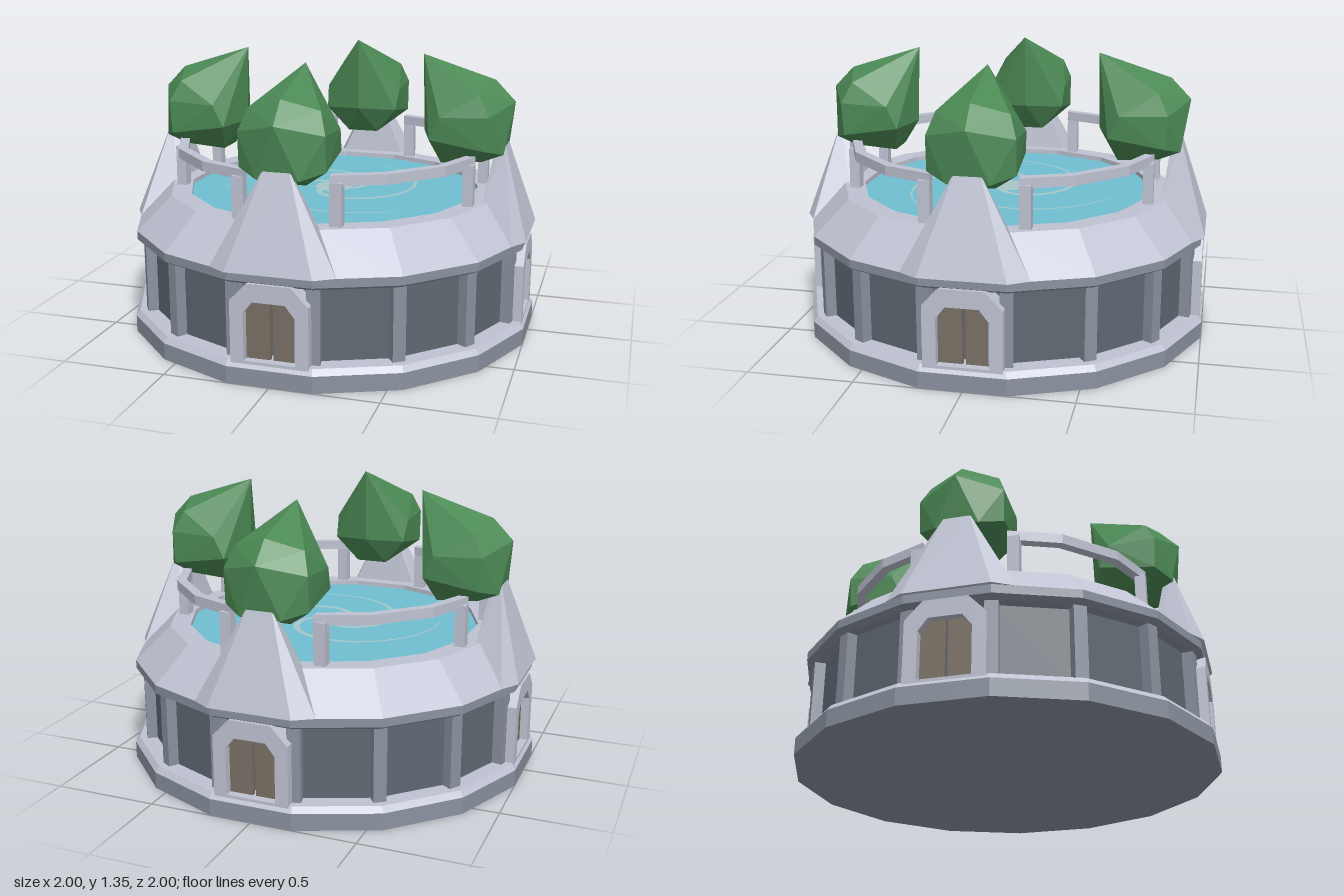
import * as THREE from 'three';
import { ConvexGeometry } from 'three/addons/geometries/ConvexGeometry.js';

const SIDES = 16;
const STEP = (Math.PI * 2) / SIDES;
const CORNER = 1 / Math.cos(STEP / 2); // apothem to corner radius

function material(name, color, side = THREE.FrontSide) {
  const m = new THREE.MeshStandardMaterial({ color, flatShading: true, side });
  m.name = name;
  return m;
}

const paleStone = material('pale stone', 0xbfc3d2);
const greyStone = material('grey stone', 0x8b93a0);
const darkWall = material('dark wall', 0x5f6872);
const wood = material('door wood', 0x7a7064);
const waterBlue = material('water', 0x6fbfd2);
const foam = material('swirl', 0xa8c6c9, THREE.DoubleSide);
const leaf = material('foliage', 0x4c8a55);

function add(parent, name, geometry, mat, x = 0, y = 0, z = 0) {
  const mesh = new THREE.Mesh(geometry, mat);
  mesh.name = name;
  mesh.position.set(x, y, z);
  parent.add(mesh);
  return mesh;
}

// Sixteen-sided ring from a profile of [apothem, height]
function ring(points) {
  const profile = points.map(([a, y]) => new THREE.Vector2(a * CORNER, y));
  return new THREE.LatheGeometry(profile, SIDES, STEP / 2);
}

// Convex solid from points given for the +x half, mirrored where x > 0
function mirroredHull(half) {
  const pts = [];
  for (const [x, y, z] of half) {
    pts.push(new THREE.Vector3(x, y, z));
    if (x > 0) pts.push(new THREE.Vector3(-x, y, z));
  }
  return new ConvexGeometry(pts);
}

const polygon = (points) => points.map(([x, y]) => new THREE.Vector2(x, y));

function doorFrameGeometry() {
  const outline = new THREE.Shape(polygon([
    [-0.18, 0.09], [0.18, 0.09], [0.18, 0.385], [0.1, 0.468], [-0.1, 0.468], [-0.18, 0.385]]));
  outline.holes.push(new THREE.Path(polygon([
    [-0.118, 0.11], [-0.118, 0.33], [-0.075, 0.385], [0.075, 0.385], [0.118, 0.33], [0.118, 0.11]])));
  return new THREE.ExtrudeGeometry(outline, { depth: 0.115, bevelEnabled: false });
}

function doorLeafGeometry() {
  const leafShape = new THREE.Shape(polygon([
    [0.007, 0.1], [0.125, 0.1], [0.125, 0.325], [0.075, 0.39], [0.007, 0.39]]));
  return new THREE.ExtrudeGeometry(leafShape, { depth: 0.02, bevelEnabled: false });
}

// Flat rail following the pool edge across one quarter
function railGeometry() {
  const path = (a) => {
    const r = a * CORNER;
    const k = Math.tan(STEP);
    const endZ = a - (0.2 - r * Math.sin(STEP / 2)) * k;
    const c = r * Math.cos(STEP * 1.5), s = r * Math.sin(STEP * 1.5);
    return [[0.2, endZ], [s, c], [c, s], [endZ, 0.2]];
  };
  const shape = new THREE.Shape(polygon([...path(0.765), ...path(0.72).reverse()]));
  const g = new THREE.ExtrudeGeometry(shape, { depth: 0.047, bevelEnabled: false });
  return g.rotateX(Math.PI / 2); // shape y becomes z
}

// Tapering spiral ribbon
function swirlArmGeometry() {
  const outer = [], inner = [];
  const n = 20;
  for (let i = 0; i <= n; i++) {
    const t = i / n;
    const angle = THREE.MathUtils.degToRad(130 - 209 * t);
    const r = 0.08 + 0.465 * t;
    const w = 0.02 * (1 - t) + 0.003;
    outer.push([(r + w) * Math.cos(angle), -(r + w) * Math.sin(angle)]);
    inner.push([(r - w) * Math.cos(angle), -(r - w) * Math.sin(angle)]);
  }
  const shape = new THREE.Shape(polygon([...outer, ...inner.reverse()]));
  return new THREE.ShapeGeometry(shape).rotateX(-Math.PI / 2);
}

export function createModel() {
  const model = new THREE.Group();
  model.name = 'roundPavilion';

  // Body, from the ground up
  add(model, 'foundation', ring([[0, 0], [1, 0], [1, 0.08]]), greyStone);
  add(model, 'foundationLedge', ring([[1, 0.08], [0.98, 0.107], [0.88, 0.107]]), paleStone);
  add(model, 'wall', ring([[0.9, 0.1], [0.9, 0.46]]), darkWall);
  add(model, 'cornice', ring([[0.89, 0.455], [0.95, 0.455], [0.978, 0.472], [0.978, 0.512]]), greyStone);
  add(model, 'roof', ring([[0.978, 0.512], [0.807, 0.678]]), paleStone);
  add(model, 'poolRim', ring([[0.807, 0.678], [0.71, 0.678], [0.71, 0.645]]), paleStone);

  // Columns at the wall corners
  const columnGeometry = new THREE.BoxGeometry(0.06, 0.36, 0.055);
  for (let i = 0; i < SIDES; i++) {
    const a = (i + 0.5) * STEP;
    const column = add(model, 'column', columnGeometry, greyStone,
      0.935 * Math.sin(a), 0.28, 0.935 * Math.cos(a));
    column.rotation.y = a;
  }

  // Pool and its swirl
  const water = new THREE.CircleGeometry(0.715 * CORNER, SIDES, STEP / 2).rotateX(-Math.PI / 2);
  add(model, 'water', water, waterBlue, 0, 0.655, 0);
  const swirl = new THREE.Group();
  swirl.name = 'swirl';
  swirl.position.y = 0.66;
  model.add(swirl);
  add(swirl, 'swirlCentre', new THREE.CircleGeometry(0.1, 9).rotateX(-Math.PI / 2), foam, 0, 0.001, 0);
  const armGeometry = swirlArmGeometry();
  for (let i = 0; i < 3; i++) {
    add(swirl, 'swirlArm', armGeometry, foam).rotation.y = (i * Math.PI * 2) / 3;
  }

  // Shared geometry for the four sides
  const frame = doorFrameGeometry();
  const doorLeaf = doorLeafGeometry();
  const rail = railGeometry();
  const post = new THREE.BoxGeometry(0.055, 0.22, 0.05);
  const gable = mirroredHull([
    [0.29, 0.512, 0.938], [0.2, 0.512, 0.995], [0.17, 0.67, 0.78],
    [0.055, 0.955, 0.86], [0, 0.967, 0.855], [0.05, 0.93, 0.815]]);
  const crown = mirroredHull([
    [0, 1.35, 0.45], [0, 1.24, 0.8], [0.165, 1.19, 0.75], [0, 1.14, 0.897],
    [0.2, 1.09, 0.8], [0.2, 0.93, 0.79], [0.2, 1.08, 0.57], [0.19, 0.97, 0.52],
    [0.1, 0.9, 0.86], [0, 0.98, 0.46], [0.1, 0.86, 0.76], [0.08, 0.84, 0.56]]);

  for (let i = 0; i < 4; i++) {
    const side = new THREE.Group();
    side.name = 'side';
    side.rotation.y = (i * Math.PI) / 2;
    model.add(side);

    add(side, 'doorFrame', frame, paleStone, 0, 0, 0.873);
    add(side, 'doorLeafLeft', doorLeaf, wood, 0, 0, 0.93);
    const other = add(side, 'doorLeafRight', doorLeaf, wood, 0, 0, 0.95);
    other.rotation.y = Math.PI; // mirrored leaf

    add(side, 'gable', gable, paleStone);
    add(side, 'treeCrown', crown, leaf);

    // Quarter rail on two posts
    add(side, 'rail', rail, paleStone, 0, 0.907, 0);
    add(side, 'railPost', post, paleStone, 0.228, 0.765, 0.722);
    const farPost = add(side, 'railPost', post, paleStone, 0.722, 0.765, 0.228);
    farPost.rotation.y = Math.PI / 2;
  }
  return model;
}
